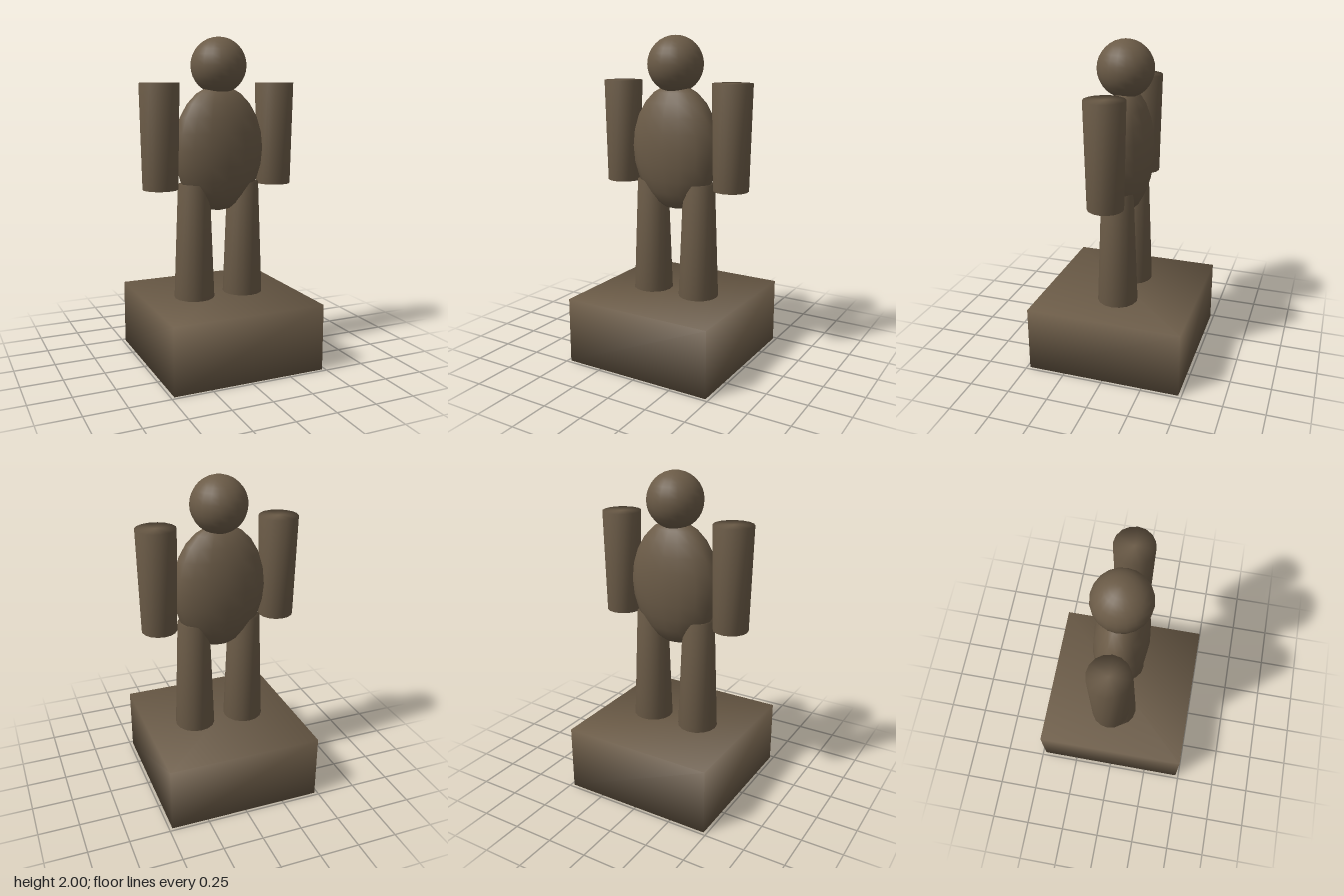
import * as THREE from 'three';
import { mergeVertices } from 'three/addons/utils/BufferGeometryUtils.js';

const bronze = new THREE.MeshStandardMaterial({ color: 0x6b5b47 });
bronze.name = 'bronze';

// Weld shared corners so that the shading runs smoothly over every edge
function soften(geometry) {
  geometry.deleteAttribute('normal');
  geometry.deleteAttribute('uv');
  const welded = mergeVertices(geometry, 1e-4);
  welded.computeVertexNormals();
  return welded;
}

export function createModel() {
  const model = new THREE.Group();
  model.name = 'statue';

  function add(name, geometry, x, y) {
    const mesh = new THREE.Mesh(soften(geometry), bronze);
    mesh.name = name;
    mesh.position.set(x, y, 0);
    model.add(mesh);
  }

  // Square plinth
  add('plinth', new THREE.BoxGeometry(0.96, 0.41, 0.96), 0, 0.205);

  // Flattened egg-shaped body and round head
  const body = new THREE.SphereGeometry(1, 16, 12).scale(0.29, 0.385, 0.163);
  add('torso', body, 0, 1.33);
  add('head', new THREE.SphereGeometry(0.17, 20, 16), 0, 1.83);

  // Tapered limbs, mirrored: legs narrow upwards, arms narrow downwards
  for (const [side, s] of [['left', 1], ['right', -1]]) {
    add(side + 'Leg', new THREE.CylinderGeometry(0.097, 0.125, 0.72, 16), s * 0.165, 0.76);
    add(side + 'Arm', new THREE.CylinderGeometry(0.12, 0.107, 0.63, 16), s * 0.38, 1.413);
  }
  return model;
}
